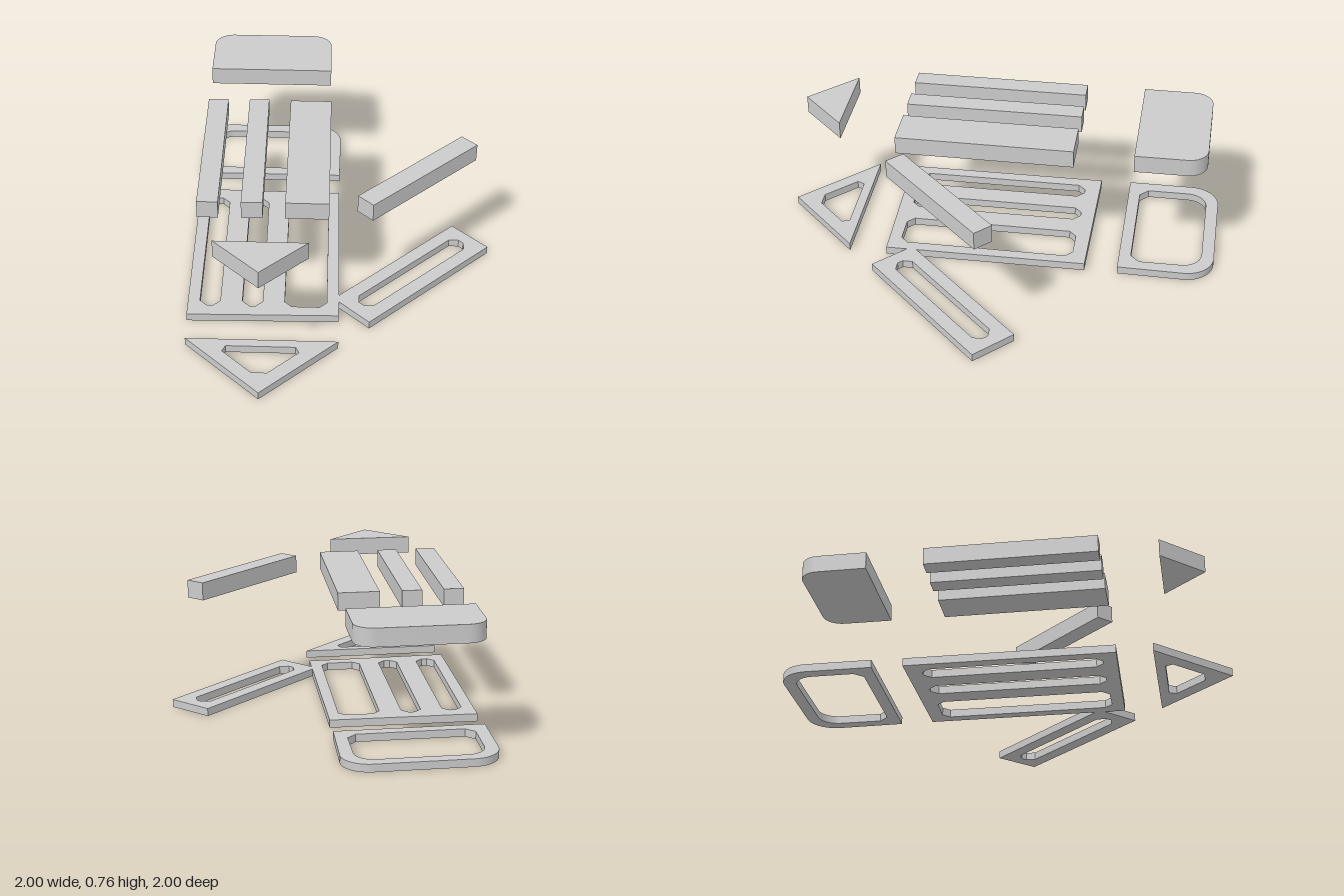
import * as THREE from 'three';
import { toCreasedNormals } from 'three/addons/utils/BufferGeometryUtils.js';

const FRAME_Y = 0, FRAME_H = 0.045;
const BLOCK_Y = 0.655, BLOCK_H = 0.102;
const material = new THREE.MeshStandardMaterial({ color: 0xcccccc });

// Corners are [x, z, round radius, chamfer length]; the last two are optional.
function trace(path, corners) {
  const pts = corners.map(([x, z]) => new THREE.Vector2(x, -z));
  const n = pts.length;
  corners.forEach(([, , round = 0, chamfer = 0], i) => {
    const p = pts[i];
    const a = pts[(i + n - 1) % n].clone().sub(p).normalize();
    const b = pts[(i + 1) % n].clone().sub(p).normalize();
    const d = round || chamfer;
    const start = p.clone().addScaledVector(a, d);
    const end = p.clone().addScaledVector(b, d);
    if (i === 0) path.moveTo(start.x, start.y); else path.lineTo(start.x, start.y);
    if (round) {
      const c1 = p.clone().addScaledVector(a, d * 0.448);
      const c2 = p.clone().addScaledVector(b, d * 0.448);
      path.bezierCurveTo(c1.x, c1.y, c2.x, c2.y, end.x, end.y);
    } else if (chamfer) path.lineTo(end.x, end.y);
  });
  path.closePath();
  return path;
}

// Flat plate lying on the ground plane, raised to y; holes run opposite to the outline
function plate(name, outline, holes, y, height) {
  const shape = trace(new THREE.Shape(), [...outline].reverse());
  shape.holes = holes.map((h) => trace(new THREE.Path(), h));
  const geo = new THREE.ExtrudeGeometry(shape, { depth: height, bevelEnabled: false, curveSegments: 12 });
  geo.rotateX(-Math.PI / 2);
  const mesh = new THREE.Mesh(toCreasedNormals(geo, 0.5), material);
  mesh.name = name;
  mesh.position.y = y;
  return mesh;
}

const rect = (x0, z0, x1, z1) => [[x0, z0], [x1, z0], [x1, z1], [x0, z1]];

// All corner lists run clockwise as seen from above
const sets = [
  {
    name: 'slotted',
    chamfer: 0.04,
    frame: [[-0.038, -0.562], [0.547, 0.04], [-0.26, 0.849], [-0.864, 0.268]],
    blocks: [
      [[-0.053, -0.449], [0.028, -0.369], [-0.68, 0.338], [-0.76, 0.257]],
      [[0.117, -0.285], [0.197, -0.205], [-0.51, 0.504], [-0.592, 0.423]],
      [[0.282, -0.114], [0.448, 0.052], [-0.259, 0.754], [-0.424, 0.588]],
    ],
  },
  {
    name: 'rounded',
    chamfer: 0.05,
    frame: [[0.08, -0.69], [0.46, -1.068, 0.163], [1.067, -0.463, 0.163], [0.68, -0.09]],
    blocks: [[[0.18, -0.685], [0.463, -0.966, 0.11], [0.962, -0.468, 0.11], [0.68, -0.185]]],
  },
  {
    name: 'bar',
    chamfer: 0.04,
    frame: rect(-0.175, 0.725, 0.805, 1),
    blocks: [rect(-0.095, 0.804, 0.73, 0.919)],
  },
  {
    name: 'triangle',
    chamfer: 0.06,
    frame: [[-1, 0.413], [-0.413, 1], [-1, 1]],
    blocks: [[[-0.922, 0.567], [-0.57, 0.919], [-0.922, 0.919]]],
  },
];

export function createModel() {
  const group = new THREE.Group();
  group.name = 'framesAndBlocks';
  for (const { name, chamfer, frame, blocks } of sets) {
    // Frame whose openings follow the blocks, with clipped corners
    const holes = blocks.map((b) => b.map(([x, z, r = 0]) => [x, z, r, r ? 0 : chamfer]));
    group.add(plate(`${name}Frame`, frame, holes, FRAME_Y, FRAME_H));
    // Matching blocks floating above the openings
    blocks.forEach((b, i) => group.add(plate(`${name}Block${i + 1}`, b, [], BLOCK_Y, BLOCK_H)));
  }
  return group;
}
